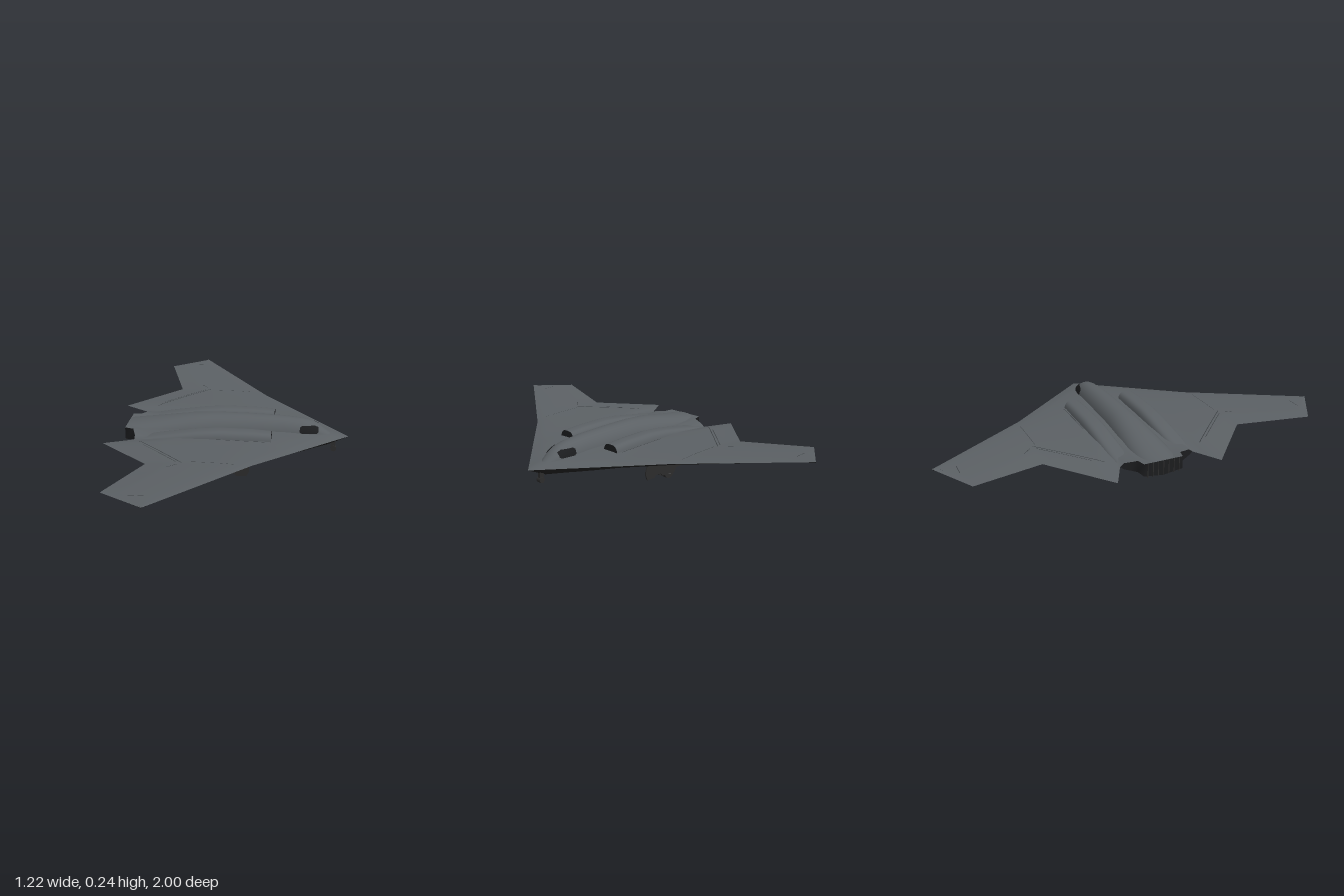
import * as THREE from 'three';

const mat = (name, color, side = THREE.FrontSide) => {
  const m = new THREE.MeshStandardMaterial({ color, side });
  m.name = name;
  return m;
};

// Piecewise-linear lookup in a short list of [key, value]
function lerp(table, k) {
  for (let i = 1; i < table.length; i++) {
    const [a, va] = table[i - 1], [b, vb] = table[i];
    if (k <= b) return va + (vb - va) * Math.max(0, (k - a) / (b - a));
  }
  return table[table.length - 1][1];
}

// Surface through rows of points; the normal is (along row) x (across rows)
function grid(rows, flip = false) {
  const n = rows[0].length, idx = [];
  for (let i = 0; i < rows.length - 1; i++) for (let j = 0; j < n - 1; j++) {
    const a = i * n + j, b = a + 1, c = a + n, d = c + 1;
    if (flip) idx.push(a, c, b, b, c, d);
    else idx.push(a, b, c, b, d, c);
  }
  const g = new THREE.BufferGeometry();
  g.setAttribute('position', new THREE.Float32BufferAttribute(rows.flat(2), 3));
  g.setIndex(idx);
  g.computeVertexNormals();
  return g;
}

// Planform and thickness rules, by distance from the centreline
const LE = [[0, 0.607], [0.48, 0.15], [1, -0.25]];
const TE = [[0, -0.535], [0.1, -0.535], [0.11, -0.49], [0.17, -0.468], [0.19, -0.468],
  [0.265, -0.61], [0.52, -0.34], [0.87, -0.455], [1, -0.25]];
const RISE = [[0, 0.04], [0.2, 0.026], [0.5, 0.01], [1, 0.002]];
const DROP = [[0, 0.073], [0.2, 0.048], [0.5, 0.022], [1, 0.003]];
const BLUNT = [[0, 1], [0.1, 1], [0.17, 0.6], [0.19, 0]];
const UPPER = [[0, 0], [0.08, 0.5], [0.25, 0.9], [0.5, 1], [0.75, 0.85], [1, 0]];
const LOWER = [[0, 0], [0.09, 0.65], [0.33, 1], [0.7, 1], [1, 0]];
const mid = (z) => 0.141 + 0.074 * Math.abs(z);

function skin(s, z, upper) {
  const q = Math.abs(z), blunt = lerp(BLUNT, q), f = lerp(upper ? UPPER : LOWER, s);
  const end = upper ? blunt : blunt * 0.5;
  const k = s > 0.7 ? Math.max(f, end * (s - 0.7) / 0.3 + f * (1 - (s - 0.7) / 0.3)) : f;
  return mid(z) + (upper ? lerp(RISE, q) : -lerp(DROP, q)) * k;
}
function topY(x, z) {
  const l = lerp(LE, Math.abs(z)), t = lerp(TE, Math.abs(z));
  return skin((l - x) / (l - t), z, true);
}

// Raised bodies: sections of [x, half width, crown height] over a base
const HUMP = [[0.53, 0.012, 0.15], [0.5, 0.033, 0.168], [0.475, 0.045, 0.187], [0.45, 0.053, 0.205],
  [0.42, 0.058, 0.22], [0.37, 0.063, 0.231], [0.27, 0.07, 0.24], [0.1, 0.076, 0.244], [-0.07, 0.082, 0.244],
  [-0.2, 0.09, 0.235], [-0.35, 0.1, 0.211], [-0.45, 0.1, 0.196], [-0.534, 0.098, 0.184]];
const POD = [[0.22, 0.047, 0.212], [0.12, 0.05, 0.218], [-0.04, 0.052, 0.219], [-0.15, 0.052, 0.21],
  [-0.25, 0.05, 0.195], [-0.34, 0.048, 0.181], [-0.43, 0.042, 0.163]];
const BASE = 0.14;
function section([x, w, top], zc, power, n = 20) {
  const row = [];
  for (let j = 0; j <= n; j++) {
    const a = Math.PI * j / n, c = Math.cos(a);
    row.push([x, BASE + (top - BASE) * Math.pow(Math.max(0, Math.sin(a)), power),
      zc + w * Math.sign(c) * Math.pow(Math.abs(c), power)]);
  }
  return row;
}

export function createModel() {
  const group = new THREE.Group();
  const grey = mat('airframe grey', 0x5b6064);
  const black = mat('underside black', 0x202020);
  const dark = mat('dark openings and glass', 0x1b1c1e, THREE.DoubleSide);
  const line = mat('panel line grey', 0x3a3e41, THREE.DoubleSide);
  const gear = mat('gear charcoal', 0x2b2b2b, THREE.DoubleSide);
  const metal = mat('hub metal', 0x8a8c8e);
  const add = (name, geo, m, parent = group) => {
    const mesh = new THREE.Mesh(geo, m);
    mesh.name = name;
    parent.add(mesh);
    return mesh;
  };

  // Wing skins, split where the outline bends
  const half = [0.03, 0.06, 0.1, 0.11, 0.14, 0.17, 0.19, 0.23, 0.265, 0.32, 0.4, 0.48, 0.52, 0.64, 0.76, 0.87, 0.94, 1];
  const stations = [...half.map((z) => -z).reverse(), 0, ...half];
  const steps = [0, 0.02, 0.05, 0.09, 0.16, 0.25, 0.33, 0.42, 0.5, 0.6, 0.7, 0.75, 0.82, 0.9, 0.96, 1];
  const surface = (upper) => stations.map((z) => steps.map((s) => {
    const l = lerp(LE, Math.abs(z)), t = lerp(TE, Math.abs(z));
    return [l + (t - l) * s, skin(s, z, upper), z];
  }));
  add('wingTop', grid(surface(true)), grey);
  add('wingUnderside', grid(surface(false), true), black);

  // Blunt exhaust face at the tail, with slats
  const tail = stations.filter((z) => Math.abs(z) <= 0.19);
  add('tailFace', grid(tail.map((z) => [true, false].map((u) =>
    [lerp(TE, Math.abs(z)), skin(1, z, u), z]))), dark);
  for (let i = -3; i <= 3; i++) {
    add('tailSlat', new THREE.BoxGeometry(0.006, 0.07, 0.004), gear).position.set(-0.535, 0.143, i * 0.027);
  }

  // Central body with the cockpit
  add('centreBody', grid(HUMP.map((s) => section(s, 0, 0.9))), grey);
  const widths = HUMP.map(([x, w]) => [x, w]).reverse(), crowns = HUMP.map(([x, , t]) => [x, t]).reverse();
  for (const side of [1, -1]) {
    // Cockpit side window lying on the body
    const rows = [0.358, 0.368, 0.39, 0.41, 0.43, 0.445, 0.452].map((x, i, all) => {
      const h = lerp(crowns, x) - BASE, w = lerp(widths, x);
      const inset = i === 0 || i === all.length - 1 ? 0.007 : 0;
      return [0, 0.25, 0.5, 0.75, 1].map((v) => {
        const y = Math.min(0.17 + inset + v * (0.037 - 2 * inset), BASE + h * 0.9);
        const c = Math.cos(Math.asin(Math.pow((y - BASE) / h, 1 / 0.9)));
        return [x, y + 0.001, side * (w * Math.pow(c, 0.9) + 0.004)];
      });
    });
    add('cockpitWindow', grid(rows), dark);

    // Engine housing with its intake
    add('engineHousing', grid(POD.map((s) => section(s, side * 0.157, 0.6))), grey);
    const mouth = section(POD[0], side * 0.157, 0.6);
    add('intake', grid([mouth, mouth.map(([x, , z]) => [x, BASE, z])]), dark);
  }

  // Thin panel seams laid on the wing
  const seam = (x0, z0, x1, z1, width = 0.004) => {
    const d = Math.hypot(x1 - x0, z1 - z0), nx = -(z1 - z0) / d * width / 2, nz = (x1 - x0) / d * width / 2;
    const rows = [];
    for (let i = 0; i <= 14; i++) {
      const x = x0 + (x1 - x0) * i / 14, z = z0 + (z1 - z0) * i / 14;
      rows.push([-1, 1].map((k) => [x + k * nx, topY(x, z) + 0.0025, z + k * nz]));
    }
    add('panelSeam', grid(rows, (x1 - x0) > 0), line);
  };
  for (const s of [1, -1]) {
    seam(-0.17, s * 0.51, -0.43, s * 0.25);
    seam(-0.2, s * 0.5, -0.4, s * 0.3, 0.003);
    seam(-0.19, s * 0.53, -0.23, s * 0.57, 0.003);
    seam(0.08, s * 0.495, -0.16, s * 0.495, 0.002);
    seam(-0.26, s * 0.895, -0.33, s * 0.895, 0.003);
    seam(0.2, s * 0.215, -0.08, s * 0.215, 0.003);
  }

  // Main landing gear: door, leg and paired wheels on each side
  const doorShape = new THREE.Shape([[-0.155, 0.125], [-0.155, 0.055], [-0.145, 0.048], [-0.105, 0.048],
    [-0.09, 0.025], [0, 0.03], [0.015, 0.046], [0.05, 0.046], [0.06, 0.035], [0.11, 0.035], [0.122, 0.06],
    [0.122, 0.08], [0.11, 0.118], [0.03, 0.125]].map(([x, y]) => new THREE.Vector2(x, y)));
  for (const side of [1, -1]) {
    const leg = new THREE.Group();
    leg.name = 'mainGear';
    group.add(leg);
    const door = add('gearDoor', new THREE.ExtrudeGeometry(doorShape, { depth: 0.006, bevelEnabled: false }), gear, leg);
    door.position.z = side * 0.3 - 0.003;
    for (const z of [0.24, 0.285]) {
      const wheel = add('wheel', new THREE.CylinderGeometry(0.036, 0.036, 0.024, 20), gear, leg);
      wheel.rotation.x = Math.PI / 2;
      wheel.position.set(-0.06, 0.036, side * z);
      const hub = add('hub', new THREE.CylinderGeometry(0.014, 0.014, 0.027, 14), metal, leg);
      hub.rotation.x = Math.PI / 2;
      hub.position.copy(wheel.position);
    }
    const axle = add('axle', new THREE.CylinderGeometry(0.007, 0.007, 0.05, 10), gear, leg);
    axle.rotation.x = Math.PI / 2;
    axle.position.set(-0.06, 0.036, side * 0.262);
    add('strut', new THREE.CylinderGeometry(0.009, 0.009, 0.1, 10), gear, leg).position.set(-0.06, 0.084, side * 0.263);
  }

  // Nose gear
  const nose = new THREE.Group();
  nose.name = 'noseGear';
  group.add(nose);
  add('noseLeg', new THREE.BoxGeometry(0.024, 0.05, 0.016), gear, nose).position.set(0.53, 0.105, 0);
  const noseWheel = add('noseWheel', new THREE.CylinderGeometry(0.015, 0.015, 0.026, 14), gear, nose);
  noseWheel.rotation.x = Math.PI / 2;
  noseWheel.position.set(0.533, 0.075, 0);
  return group;
}
